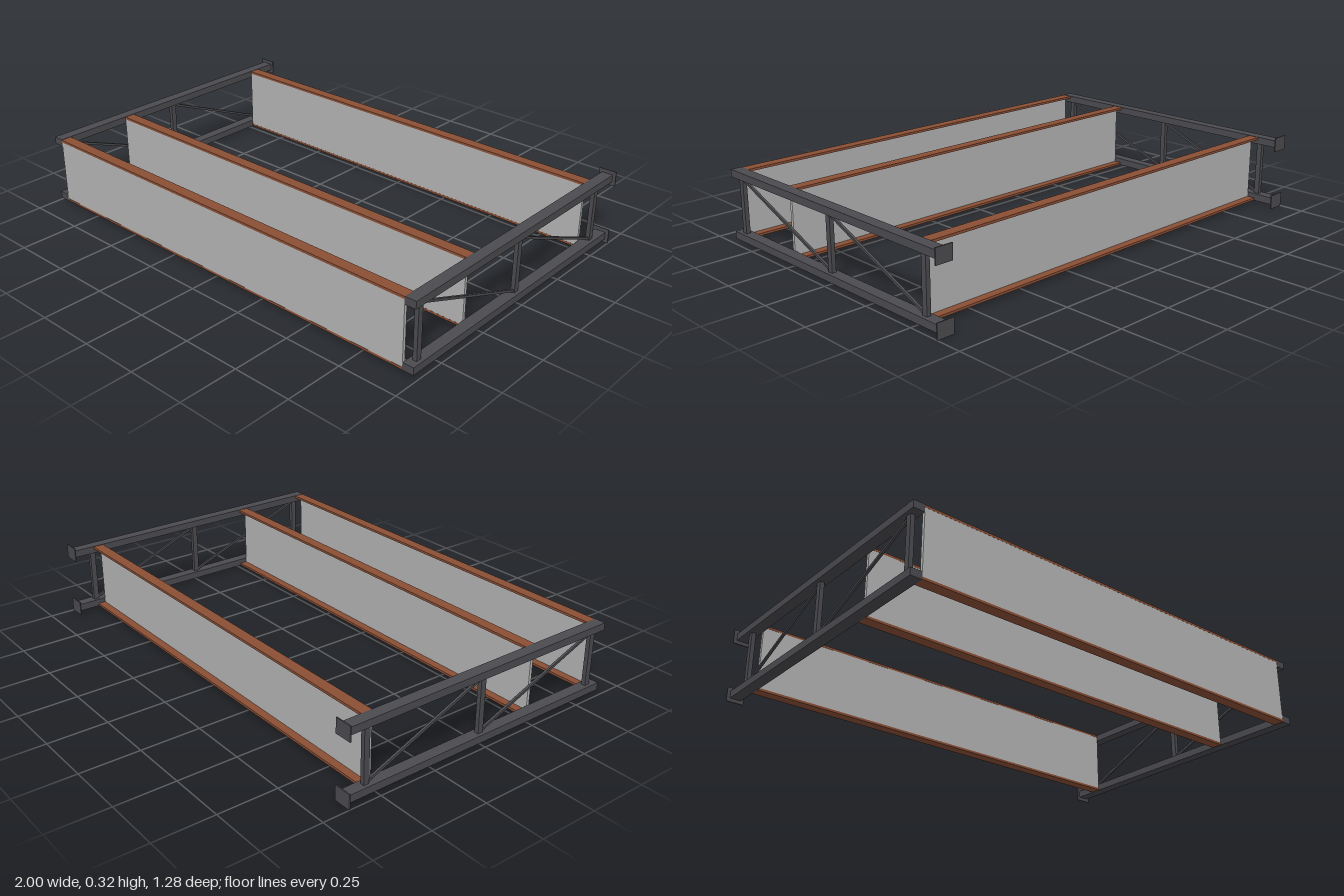
import * as THREE from 'three';

export function createModel() {
  const model = new THREE.Group();
  model.name = 'trussFrame';
  const material = (name, color) => {
    const m = new THREE.MeshStandardMaterial({ color });
    m.name = name;
    return m;
  };
  const steel = material('darkSteel', 0x4b4b50);
  const rust = material('rustBrown', 0x8b4f35);
  const panel = material('lightGrey', 0xb4b4b4);

  // Box given by its centre and size
  function box(parent, name, mat, [x, y, z], [w, h, d]) {
    const mesh = new THREE.Mesh(new THREE.BoxGeometry(w, h, d), mat);
    mesh.name = name;
    mesh.position.set(x, y, z);
    parent.add(mesh);
    return mesh;
  }

  // Side trusses, mirrored left and right
  for (const side of [1, -1]) {
    const truss = new THREE.Group();
    truss.name = side > 0 ? 'leftTruss' : 'rightTruss';
    const x = side * 0.962;
    for (const [label, y] of [['bottom', 0.034], ['top', 0.296]]) {
      box(truss, label + 'Chord', steel, [x, y, 0.002], [0.048, 0.031, 1.276]);
      box(truss, label + 'EndPlate', steel, [side * 0.963, y, -0.638], [0.074, 0.062, 0.005]);
    }
    for (const z of [0.592, 0, -0.542]) {
      box(truss, 'post', steel, [x, 0.165, z], [0.018, 0.232, 0.024]);
    }
    // Diagonal braces run down towards the back
    for (const [z0, z1] of [[0.59, 0], [0, -0.542]]) {
      const dy = 0.226, dz = z0 - z1;
      const brace = box(truss, 'diagonalBrace', steel, [x, 0.165, (z0 + z1) / 2],
        [0.01, 0.01, Math.hypot(dy, dz)]);
      brace.rotation.x = -Math.atan2(dy, dz);
    }
    model.add(truss);
  }

  // Cross beams: a web flush with the front edge of two flanges
  for (const front of [0.64, 0.295, -0.495]) {
    const beam = new THREE.Group();
    beam.name = 'crossBeam';
    box(beam, 'web', panel, [0, 0.165, front - 0.007], [1.876, 0.27, 0.013]);
    for (const y of [0.025, 0.305]) {
      box(beam, 'flange', rust, [0, y, front - 0.0235], [1.876, 0.01, 0.047]);
    }
    model.add(beam);
  }
  return model;
}
